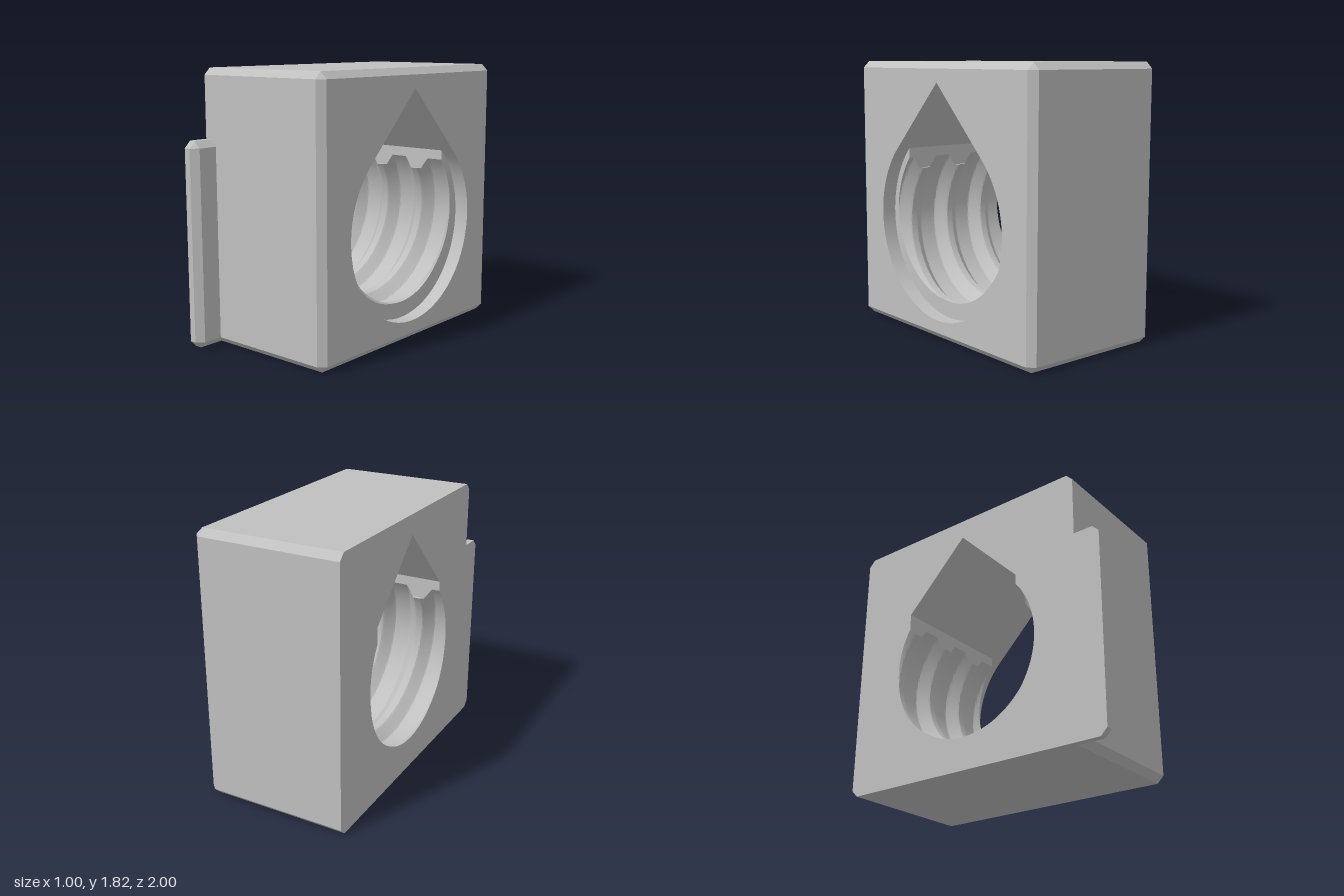
import * as THREE from 'three';
import { toCreasedNormals } from 'three/addons/utils/BufferGeometryUtils.js';

const CHAMFER = 0.045;
const BORE = { y: 0.775, z: -0.09, clear: 0.645, major: 0.6, minor: 0.535 };
const HALF = BORE.clear * Math.SQRT1_2; // half width of the relief slot
const RELIEF_Y = 1.09, TOP_Y = BORE.y + HALF, TIP_Y = BORE.y + BORE.clear * Math.SQRT2;
const PITCH = 0.31, STEP_X = 0.4, BACK_X = -0.5, FRONT_X = 0.5;

// Skin between closed [z, y] rings, each placed at its own x
function loft(rings, crease) {
  const pos = [];
  const put = (r, i) => {
    const p = r.points[i % r.points.length];
    pos.push(r.x, p[1], p[0]);
  };
  for (let k = 0; k + 1 < rings.length; k++) {
    const a = rings[k], b = rings[k + 1];
    for (let i = 0; i < a.points.length; i++) {
      put(a, i); put(a, i + 1); put(b, i + 1);
      put(a, i); put(b, i + 1); put(b, i);
    }
  }
  const g = new THREE.BufferGeometry();
  g.setAttribute('position', new THREE.Float32BufferAttribute(pos, 3));
  return toCreasedNormals(g, crease);
}

// Flat face across x, looking along dir (+1 or -1), with an optional hole
function cap(x, points, dir, hole) {
  const flat = (list) => list
    .filter((p, i) => {
      const q = list[(i + 1) % list.length];
      return Math.hypot(p[0] - q[0], p[1] - q[1]) > 1e-4;
    })
    .map(([z, y]) => new THREE.Vector2(-dir * z, y));
  const shape = new THREE.Shape(flat(points));
  if (hole) shape.holes.push(new THREE.Path(flat(hole)));
  return new THREE.ShapeGeometry(shape).rotateY(dir * Math.PI / 2).translate(x, 0, 0);
}

// Rectangle with cut corners; inset = true gives the smaller square-cornered end
function outline(z0, z1, y0, y1, inset) {
  const c = CHAMFER, e = inset ? c : 0;
  return [
    [z0 + e, y0 + c], [z0 + e, y1 - c], [z0 + c, y1 - e], [z1 - c, y1 - e],
    [z1 - e, y1 - c], [z1 - e, y0 + c], [z1 - c, y0 + e], [z0 + c, y0 + e],
  ];
}

// Radius of the right-handed trapezoidal thread
function threadRadius(x, phi) {
  let u = (x - STEP_X) / PITCH - (phi - 1.92) / (2 * Math.PI);
  u -= Math.round(u);
  const t = THREE.MathUtils.clamp((Math.abs(u) * PITCH - 0.06) / 0.07, 0, 1);
  return BORE.major - (BORE.major - BORE.minor) * t;
}

// Bore cross-section: lower arc, relief slot and 45 degree roof
function boreSection(radius) {
  const N = 96;
  const endAngle = (at) => {
    let a = 0.65;
    for (let i = 0; i < 4; i++) {
      const r = radius(at(a));
      a = Math.min(Math.acos(Math.min(1, HALF / r)), Math.PI / 2);
      if (BORE.y + r * Math.sin(a) < RELIEF_Y) a = Math.asin((RELIEF_Y - BORE.y) / r);
    }
    return at(a);
  };
  const start = endAngle((a) => Math.PI - a), end = endAngle((a) => 2 * Math.PI + a);
  const pts = [];
  for (let i = 0; i <= N; i++) {
    const phi = start + (end - start) * i / N, r = radius(phi);
    pts.push([BORE.z - r * Math.cos(phi), BORE.y + r * Math.sin(phi)]);
  }
  const first = pts[0], last = pts[N];
  pts.push(
    [BORE.z - HALF, Math.max(RELIEF_Y, last[1])], [BORE.z - HALF, TOP_Y],
    [BORE.z, TIP_Y],
    [BORE.z + HALF, TOP_Y], [BORE.z + HALF, Math.max(RELIEF_Y, first[1])],
  );
  return pts;
}

export function createModel() {
  const model = new THREE.Group();
  const grey = new THREE.MeshStandardMaterial({ color: 0xc0c0c0 });
  grey.name = 'grey';

  const add = (parent, name, geometry) => {
    const mesh = new THREE.Mesh(geometry, grey);
    mesh.name = name;
    parent.add(mesh);
  };

  // Chamfered prism, flat on its -x side
  const prism = (name, x1, z0, z1, y1, backHole, frontHole) => {
    const group = new THREE.Group();
    group.name = name;
    const full = outline(z0, z1, 0, y1, false), small = outline(z0, z1, 0, y1, true);
    add(group, name + 'Sides', loft([
      { x: BACK_X, points: full }, { x: x1 - CHAMFER, points: full }, { x: x1, points: small },
    ], 0.1));
    add(group, name + 'InnerFace', cap(BACK_X, full, -1, backHole));
    add(group, name + 'OuterFace', cap(x1, small, 1, frontHole));
    model.add(group);
  };

  // Threaded bore with a wider counterbore at the +x end
  const clear = boreSection(() => BORE.clear);
  const rings = [{ x: FRONT_X, points: clear }, { x: STEP_X, points: clear }];
  const SLICES = 130;
  for (let i = 0; i <= SLICES; i++) {
    const x = STEP_X + (BACK_X - STEP_X) * i / SLICES;
    rings.push({ x, points: boreSection((phi) => threadRadius(x, phi)) });
  }
  add(model, 'threadedBore', loft(rings, 0.4));

  prism('block', FRONT_X, -1, 0.82, 1.82, rings[rings.length - 1].points, clear);
  prism('sideTab', -0.41, 0.73, 1, 1.365);
  return model;
}
